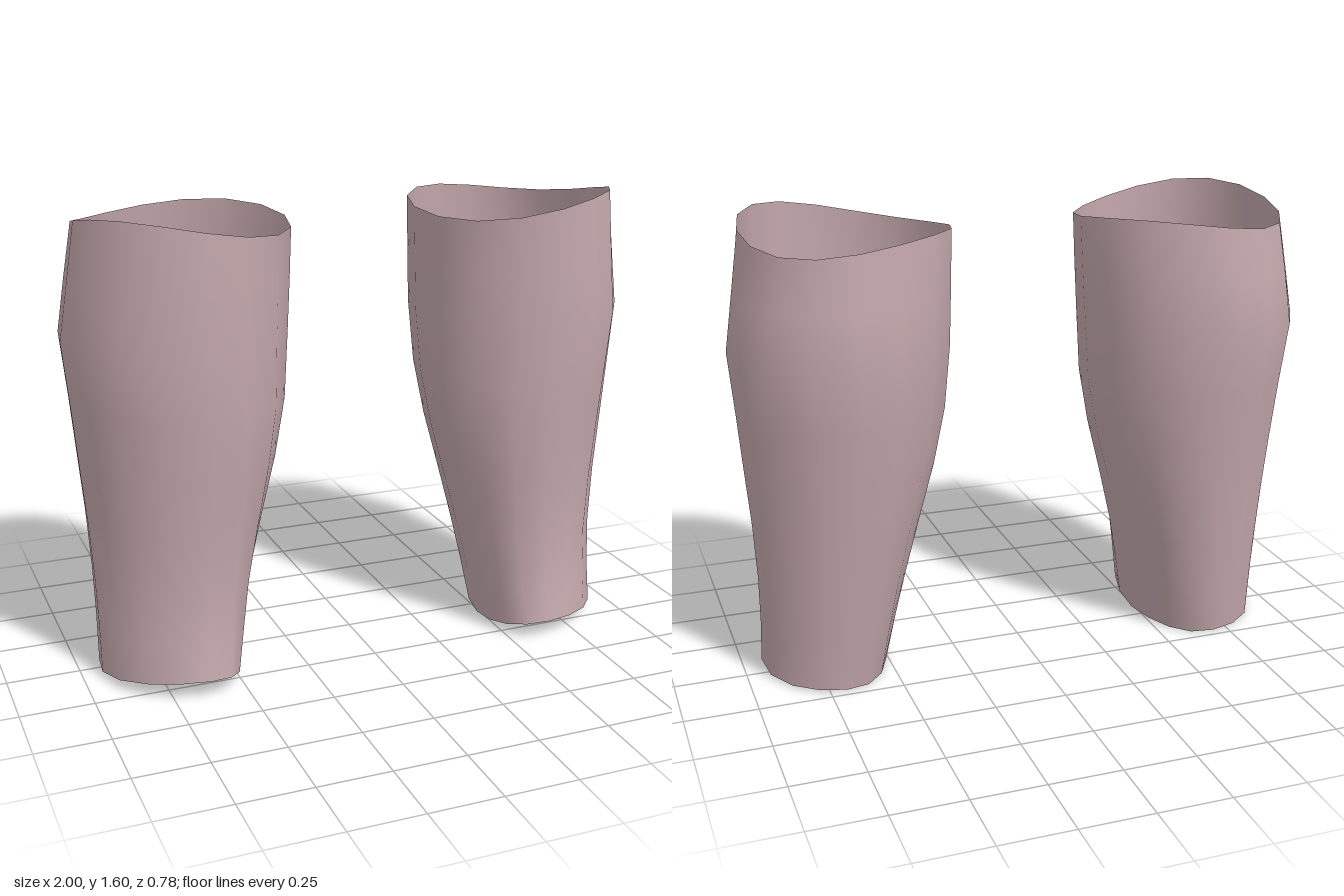
import * as THREE from 'three';

const SIDES = 16;

// Cross-sections from bottom to top: height, inner x, outer x, back z, front z
const SECTIONS = [
  [0.00, 0.490, 0.935, -0.225, 0.365],
  [0.18, 0.455, 0.933, -0.250, 0.345],
  [0.35, 0.417, 0.936, -0.273, 0.332],
  [0.55, 0.365, 0.947, -0.302, 0.342],
  [0.75, 0.310, 0.964, -0.330, 0.358],
  [0.95, 0.270, 0.980, -0.361, 0.376],
  [1.17, 0.252, 1.000, -0.390, 0.386],
  [1.35, 0.243, 0.972, -0.376, 0.388],
  [1.55, 0.235, 0.940, -0.360, 0.385],
];

// Wavy heights of the two open rims
const bottomRim = (a) => Math.max(0,
  0.022 + 0.009 * Math.cos(a) + 0.03 * Math.sin(a) - 0.013 * Math.cos(2 * a));
const topRim = (a) =>
  1.55 + 0.013 * (Math.cos(a) + Math.sin(a)) + 0.028 * Math.sin(2 * a);

// Open sleeve lofted through the sections; side is +1 (left) or -1 (right)
function sleeveGeometry(side) {
  const positions = [];
  const indices = [];
  const last = SECTIONS.length - 1;
  SECTIONS.forEach(([y, xIn, xOut, zBack, zFront], row) => {
    const t = y / 1.55;
    const bow = THREE.MathUtils.lerp(-0.05, 0.03, t);
    const skew = THREE.MathUtils.lerp(0.03, 0.01, t);
    for (let i = 0; i < SIDES; i++) {
      const a = (i / SIDES) * Math.PI * 2;
      const c = Math.cos(a), s = Math.sin(a);
      const x = (xIn + xOut) / 2 + ((xOut - xIn) / 2) * c + bow * s * s - skew * s;
      const z = (zBack + zFront) / 2 + ((zFront - zBack) / 2) * s;
      const h = row === 0 ? bottomRim(a) : row === last ? topRim(a) : y;
      positions.push(side * x, h, z);
    }
  });
  for (let row = 0; row < last; row++) {
    for (let i = 0; i < SIDES; i++) {
      const a = row * SIDES + i;
      const b = row * SIDES + ((i + 1) % SIDES);
      const c = a + SIDES, d = b + SIDES;
      if (side > 0) indices.push(a, c, b, b, c, d);
      else indices.push(a, b, c, b, d, c);
    }
  }
  const geometry = new THREE.BufferGeometry();
  geometry.setAttribute('position', new THREE.Float32BufferAttribute(positions, 3));
  geometry.setIndex(indices);
  geometry.computeVertexNormals();
  return geometry;
}

export function createModel() {
  const group = new THREE.Group();
  group.name = 'legSleeves';
  const fabric = new THREE.MeshStandardMaterial({ color: 0xc4a8ac, side: THREE.DoubleSide });
  fabric.name = 'dustyPinkFabric';
  for (const side of [1, -1]) {
    const sleeve = new THREE.Mesh(sleeveGeometry(side), fabric);
    sleeve.name = side > 0 ? 'leftSleeve' : 'rightSleeve';
    group.add(sleeve);
  }
  return group;
}
